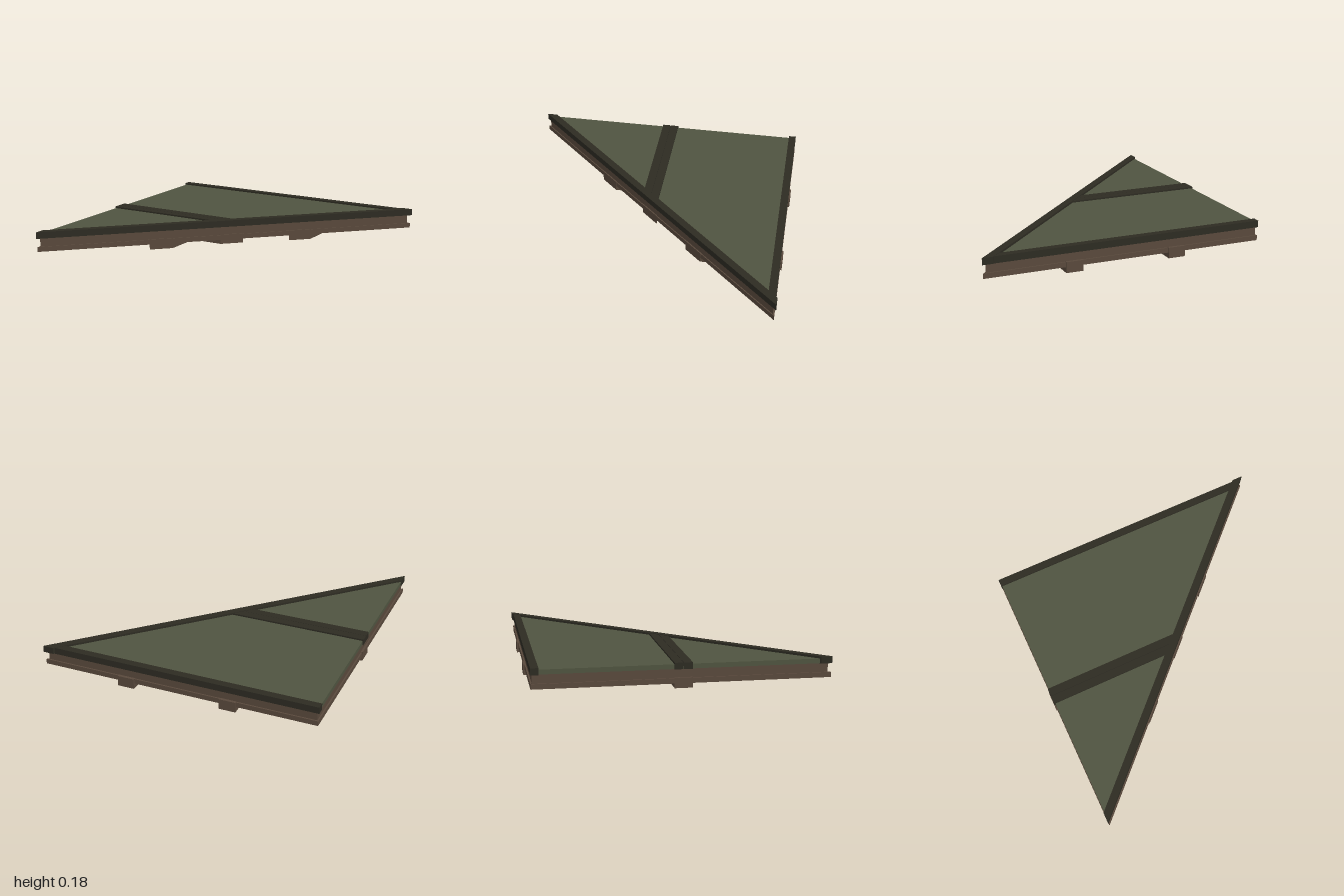
import * as THREE from 'three';

const flat = (name, color) => {
  const m = new THREE.MeshStandardMaterial({ color });
  m.name = name;
  return m;
};

// Upright prism from a plan outline of [x, z] points
function prism(name, material, points, y0, y1) {
  const shape = new THREE.Shape(points.map(([x, z]) => new THREE.Vector2(x, -z)));
  const geo = new THREE.ExtrudeGeometry(shape, { depth: y1 - y0, bevelEnabled: false });
  geo.rotateX(-Math.PI / 2);
  geo.translate(0, y0, 0);
  const mesh = new THREE.Mesh(geo, material);
  mesh.name = name;
  return mesh;
}

// Right triangle: left edge at x, back edge at z, slanted edge on x + z = d
const triangle = (x, z, d) => [[x, z], [x, d - x], [d - z, z]];

export function createModel() {
  const green = flat('green panel', 0x4f5440);
  const dark = flat('dark trim', 0x2d2b22);
  const wood = flat('brown wood', 0x59493c);
  const group = new THREE.Group();
  group.name = 'triangularPlatform';

  // Stepped wooden frame and panel
  group.add(prism('frameFlange', wood, triangle(-0.995, -0.99, 0), 0.04, 0.075));
  group.add(prism('frameCore', wood, triangle(-0.985, -0.98, -0.01), 0.075, 0.136));
  group.add(prism('topPanel', green, triangle(-0.993, -0.985, -0.01), 0.136, 0.168));

  // Trim along the back and slanted edges
  group.add(prism('backTrim', dark,
    [[-1, -0.99], [-1, -0.937], [0.867, -0.937], [0.92, -0.99]], 0.133, 0.18));
  group.add(prism('slantedTrim', dark,
    [[-1, 0.925], [-1, 1], [1, -1], [0.925, -1]], 0.135, 0.182));

  // Paired boards across the middle
  for (const [z0, z1] of [[-0.06, -0.001], [0.001, 0.06]]) {
    group.add(prism('middleTrim', dark,
      [[-1, z0], [-1, z1], [-0.07 - z1, z1], [-0.07 - z0, z0]], 0.135, 0.179));
  }

  // Joists below, cut along the slanted edge
  const w = 0.06, cut = 0.002;
  for (const x of [-0.37, 0.37]) {
    group.add(prism('joist', wood,
      [[x - w, -1], [x - w, cut - x + w], [x + w, cut - x - w], [x + w, -1]], 0.003, 0.077));
  }
  group.add(prism('crossJoist', wood,
    [[-1, -w], [-1, w], [cut - w, w], [cut + w, -w]], 0.01, 0.079));

  // Ground contact at y = 0
  group.position.y = -0.003;
  const root = new THREE.Group();
  root.add(group);
  return root;
}
